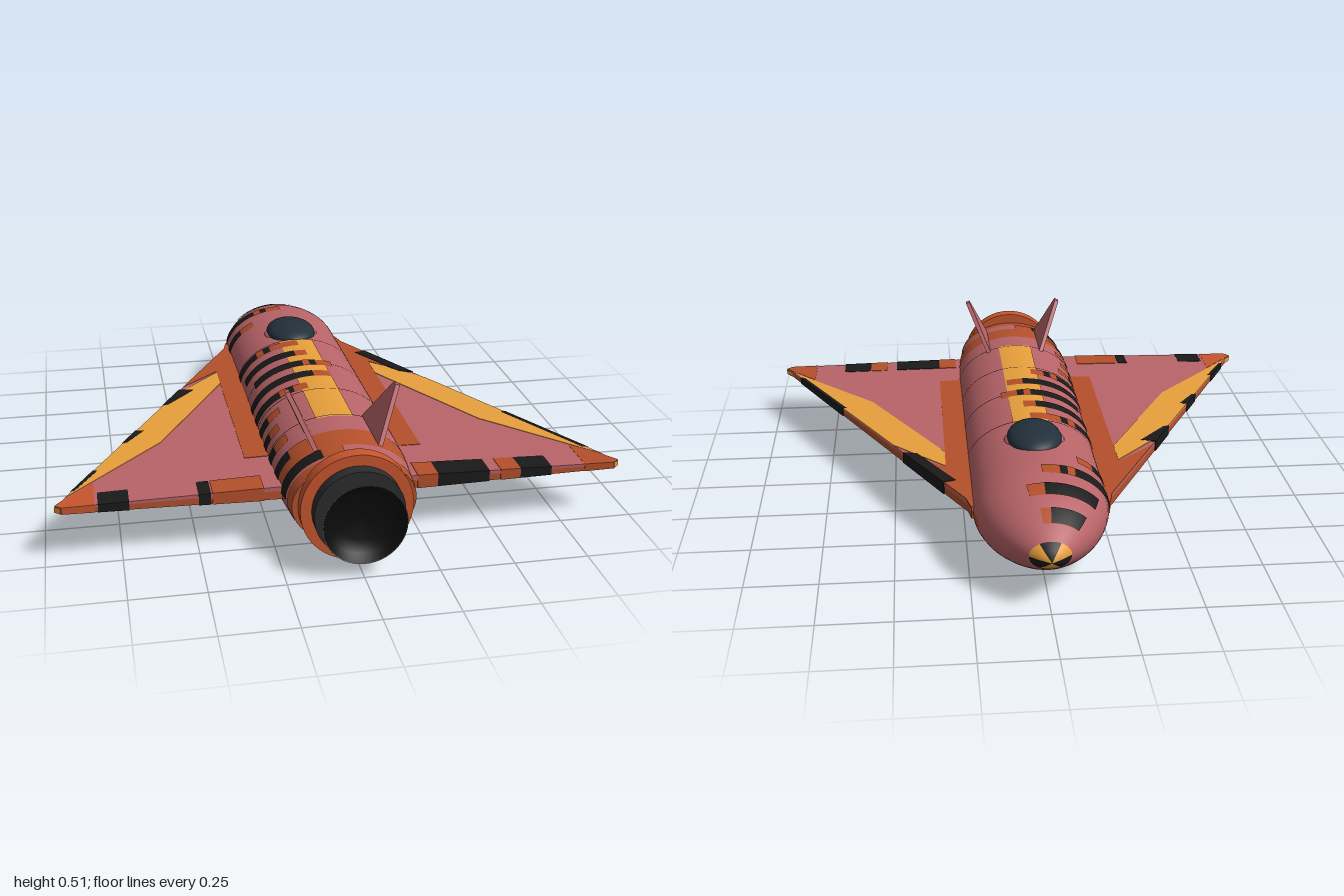
import * as THREE from 'three';
import { ParametricGeometry } from 'three/addons/geometries/ParametricGeometry.js';

const PINK = 0xb86468, ORANGE = 0xb5502b, YELLOW = 0xe8a03c, BLACK = 0x1a1a1a, DARK = 0x2c2c2c;
const CY = 0.188; // height of the hull axis

// Hull cross-section scale along z: ogive nose, straight body, slight boat tail
function hullScale(z) {
  if (z < -0.62) {
    const t = Math.max(0, (z + 1) / 0.38);
    return Math.pow(1 - (1 - t) ** 2, 0.88);
  }
  return z > 0.5 ? 1 - 0.1 * ((z - 0.5) / 0.34) ** 2 : 1;
}

export function createModel() {
  const model = new THREE.Group();

  function add(name, geometry, color, parent = model, side = THREE.FrontSide) {
    const mesh = new THREE.Mesh(geometry, new THREE.MeshStandardMaterial({ color, side }));
    mesh.name = name;
    parent.add(mesh);
    return mesh;
  }

  // Patch of hull skin between two stations and two angles (0 = +x, PI/2 = top)
  function skin(name, color, z0, z1, a0, a1, lift = 0) {
    const nu = Math.max(2, Math.ceil((a1 - a0) * 10));
    const nv = Math.max(1, Math.ceil((z1 - z0) * 30));
    const geo = new ParametricGeometry((u, v, p) => {
      const z = z0 + (z1 - z0) * v, a = a0 + (a1 - a0) * u, s = hullScale(z);
      p.set((0.23 * s + lift) * Math.cos(a), CY + (0.163 * s + lift) * Math.sin(a), z);
    }, nu, nv);
    return add(name, geo, color);
  }
  // Same, but limited by x positions on the upper side
  function topSkin(name, color, z0, z1, x0, x1, lift) {
    const w = 0.23 * hullScale((z0 + z1) / 2);
    const angle = x => Math.acos(THREE.MathUtils.clamp(x / w, -1, 1));
    return skin(name, color, z0, z1, angle(x1), angle(x0), lift);
  }

  // Hull and belly
  skin('fuselage', PINK, -1, 0.84, 0, Math.PI * 2);
  skin('belly', ORANGE, -0.72, 0.74, Math.PI - 0.07, Math.PI * 2 + 0.07, 0.001);
  skin('tailBand', ORANGE, 0.79, 0.84, 0, Math.PI * 2, 0.001);
  skin('finBand', ORANGE, 0.62, 0.73, 0, Math.PI, 0.001);
  topSkin('spineStripe', YELLOW, -0.26, 0.51, -0.065, 0.065, 0.002);
  for (const z of [-0.26, 0, 0.26, 0.5]) skin('panelLine', DARK, z - 0.002, z + 0.002, 0, Math.PI * 2, 0.0025);
  const tail = add('tailCap', new THREE.CircleGeometry(1, 48), ORANGE);
  tail.scale.set(0.207, 0.147, 1);
  tail.position.set(0, CY, 0.84);

  // Nose tip in alternating sectors
  for (let i = 0; i < 6; i++) {
    const a = (i + 1) * Math.PI / 3;
    skin('noseTip', i % 2 ? YELLOW : BLACK, -1, -0.95, a, a + Math.PI / 3, 0.002);
  }

  // Broken cross stripes on the right flank: z, black start, black end, orange end
  const stripes = [
    [-0.87, -0.11, -0.01, 0.02], [-0.765, -0.17, 0, 0.055], [-0.655, -0.23, -0.06, 0],
    [-0.545, -0.23, -0.18, -0.13], [-0.22, -0.23, -0.11, 0], [-0.11, -0.22, -0.03, 0.015],
    [0, -0.2, 0.03, 0.09], [0.11, -0.23, 0.0, 0.06], [0.215, -0.23, -0.09, -0.04],
    [0.325, -0.23, -0.2, -0.16], [0.43, -0.23, -0.21, -0.18], [0.54, -0.23, -0.21, -0.17],
    [0.65, -0.23, -0.18, -0.12], [0.755, -0.22, -0.09, -0.02],
  ];
  stripes.forEach(([z, a, b, c], i) => {
    topSkin('stripe', ORANGE, z - 0.027, z + 0.027, a, c, 0.003);
    topSkin('stripe', BLACK, z - 0.027, z + 0.027, a, b, 0.004);
    // short break in every other long stripe
    if (i % 2 === 0 && b - a > 0.1) topSkin('stripeGap', ORANGE, z - 0.027, z + 0.027, b - 0.05, b - 0.025, 0.005);
  });

  // Canopy with a low frame
  const canopyFrame = add('canopyFrame', new THREE.SphereGeometry(1, 32, 16), PINK);
  canopyFrame.scale.set(0.107, 0.03, 0.09);
  canopyFrame.position.set(0, 0.332, -0.385);
  const canopy = add('canopy', new THREE.SphereGeometry(1, 40, 20), 0x22303a);
  canopy.scale.set(0.096, 0.045, 0.133);
  canopy.position.set(0, 0.342, -0.385);

  // Belly thruster ports
  for (const x of [-0.075, -0.025, 0.025, 0.075]) {
    const port = add('bellyPort', new THREE.CylinderGeometry(0.01, 0.01, 0.02, 12), BLACK);
    port.position.set(x, CY - 0.158 * Math.sqrt(1 - (x / 0.227) ** 2), 0.64);
  }

  // Engine: turned parts along the z axis
  const engine = new THREE.Group();
  engine.name = 'engine';
  engine.position.y = CY;
  engine.rotation.x = Math.PI / 2;
  model.add(engine);
  const turned = (name, pts, color, side) =>
    add(name, new THREE.LatheGeometry(pts.map(p => new THREE.Vector2(...p)), 48), color, engine, side);
  const disc = (name, r, z0, z1, color) => {
    add(name, new THREE.CylinderGeometry(r, r, z1 - z0, 48), color, engine).position.y = (z0 + z1) / 2;
  };
  disc('engineCollar', 0.187, 0.83, 0.88, 0xc8562e);
  disc('engineRing', 0.15, 0.87, 0.925, DARK);
  turned('nozzle', [[0.07, 0.92], [0.09, 0.94], [0.118, 0.97], [0.138, 1]], 0x96968c, THREE.DoubleSide);
  turned('nozzleLining', [[0.136, 1], [0.115, 0.97], [0.08, 0.945], [0, 0.94]], 0x0c0c0c, THREE.DoubleSide);

  // Wings: planform pieces given as [x, z], thinner toward the tip
  const half = x => 0.023 - 0.012 * THREE.MathUtils.clamp((Math.abs(x) - 0.23) / 0.72, 0, 1);
  const lead = z => 0.24 + (z + 0.6) * 0.542;
  function wingPiece(name, color, side, pts, lo, hi) {
    const shape = new THREE.Shape(pts.map(([x, z]) => new THREE.Vector2(side * x, -z)));
    const geo = new THREE.ExtrudeGeometry(shape, { depth: 1, bevelEnabled: false });
    const p = geo.attributes.position;
    for (let i = 0; i < p.count; i++) {
      const x = p.getX(i), y = p.getY(i), t = p.getZ(i);
      p.setXYZ(i, x, CY + half(x) * (t > 0.5 ? hi : lo), -y);
    }
    geo.computeVertexNormals();
    add(name, geo, color);
  }
  // Strip along the leading edge, wrapping over it
  const edgeStrip = (color, side, z0, z1, w0, w1) => wingPiece('leadingEdgePatch', color, side,
    [[lead(z0) + 0.003, z0], [lead(z1) + 0.003, z1], [lead(z1) - w1, z1 - w1 * 0.3], [lead(z0) - w0, z0 + w0 * 0.3]], -1.08, 1.16);
  // Block along the trailing edge
  const rearBlock = (color, side, x0, x1) => wingPiece('trailingEdgePatch', color, side,
    [[x0, 0.65 - 0.02 * (1 - x0)], [x1, 0.65 - 0.02 * (1 - x1)], [x1, 0.733], [x0, 0.733]], -1.04, 1.08);

  const planform = [[0.19, -0.64], [0.235, -0.64], [0.245, -0.59], [lead(0.69), 0.69],
    [0.955, 0.712], [0.935, 0.73], [0.19, 0.73]];
  for (const s of [1, -1]) {
    wingPiece('wingTop', PINK, s, planform, 0.3, 1);
    wingPiece('wingUnderside', ORANGE, s, planform, -1, 0.3);
    wingPiece('wingRoot', ORANGE, s, [[0.2, -0.642], [0.237, -0.642], [lead(-0.58), -0.58], [lead(-0.2), -0.2],
      [0.312, -0.33], [0.312, 0.49], [0.2, 0.49]], 0.8, 1.06);
    wingPiece('wingStripe', YELLOW, s, [[0.312, -0.32], [lead(-0.12), -0.12], [lead(0.66), 0.66],
      [0.585, 0.3], [0.312, -0.2]], 0.8, 1.1);
    wingPiece('wingTip', s > 0 ? ORANGE : 0xc8562e, s, [[0.83, 0.57], [lead(0.69) + 0.002, 0.69], [0.957, 0.712],
      [0.936, 0.732], [0.83, 0.732]], -1.05, 1.07);
    wingPiece('wingTipLight', YELLOW, s, [[lead(0.68), 0.68], [lead(0.69) + 0.004, 0.69], [0.959, 0.712], [0.94, 0.728]], -1.1, 0.7);
  }
  edgeStrip(BLACK, 1, -0.45, -0.19, 0.04, 0.05);
  edgeStrip(BLACK, 1, 0.25, 0.6, 0.012, 0.015);
  edgeStrip(BLACK, -1, -0.17, -0.03, 0.05, 0.02);
  edgeStrip(BLACK, -1, 0.18, 0.28, 0.025, 0.015);
  edgeStrip(BLACK, -1, 0.48, 0.62, 0.012, 0.01);
  rearBlock(ORANGE, 1, 0.24, 0.31);
  rearBlock(BLACK, 1, 0.31, 0.49);
  rearBlock(ORANGE, 1, 0.53, 0.6);
  rearBlock(BLACK, 1, 0.6, 0.71);
  rearBlock(ORANGE, -1, 0.28, 0.45);
  rearBlock(BLACK, -1, 0.455, 0.495);
  rearBlock(BLACK, -1, 0.72, 0.82);

  // Canted tail fins with a dark inset on the outer face
  function plate(pts, thickness) {
    const shape = new THREE.Shape(pts.map(p => new THREE.Vector2(...p)));
    const geo = new THREE.ExtrudeGeometry(shape, { depth: thickness, bevelEnabled: false });
    return geo.translate(0, 0, -thickness / 2).rotateY(-Math.PI / 2);
  }
  for (const s of [1, -1]) {
    const fin = new THREE.Group();
    fin.name = s > 0 ? 'leftFin' : 'rightFin';
    fin.position.set(s * 0.108, 0.332, 0);
    fin.rotation.z = -s * 0.42;
    model.add(fin);
    add('finPlate', plate([[0.485, 0], [0.735, 0], [0.64, 0.19], [0.615, 0.19]], 0.016), PINK, fin);
    add('finInset', plate([[0.54, 0.055], [0.69, 0.055], [0.632, 0.165]], 0.004), BLACK, fin).position.x = s * 0.008;
  }
  return model;
}
